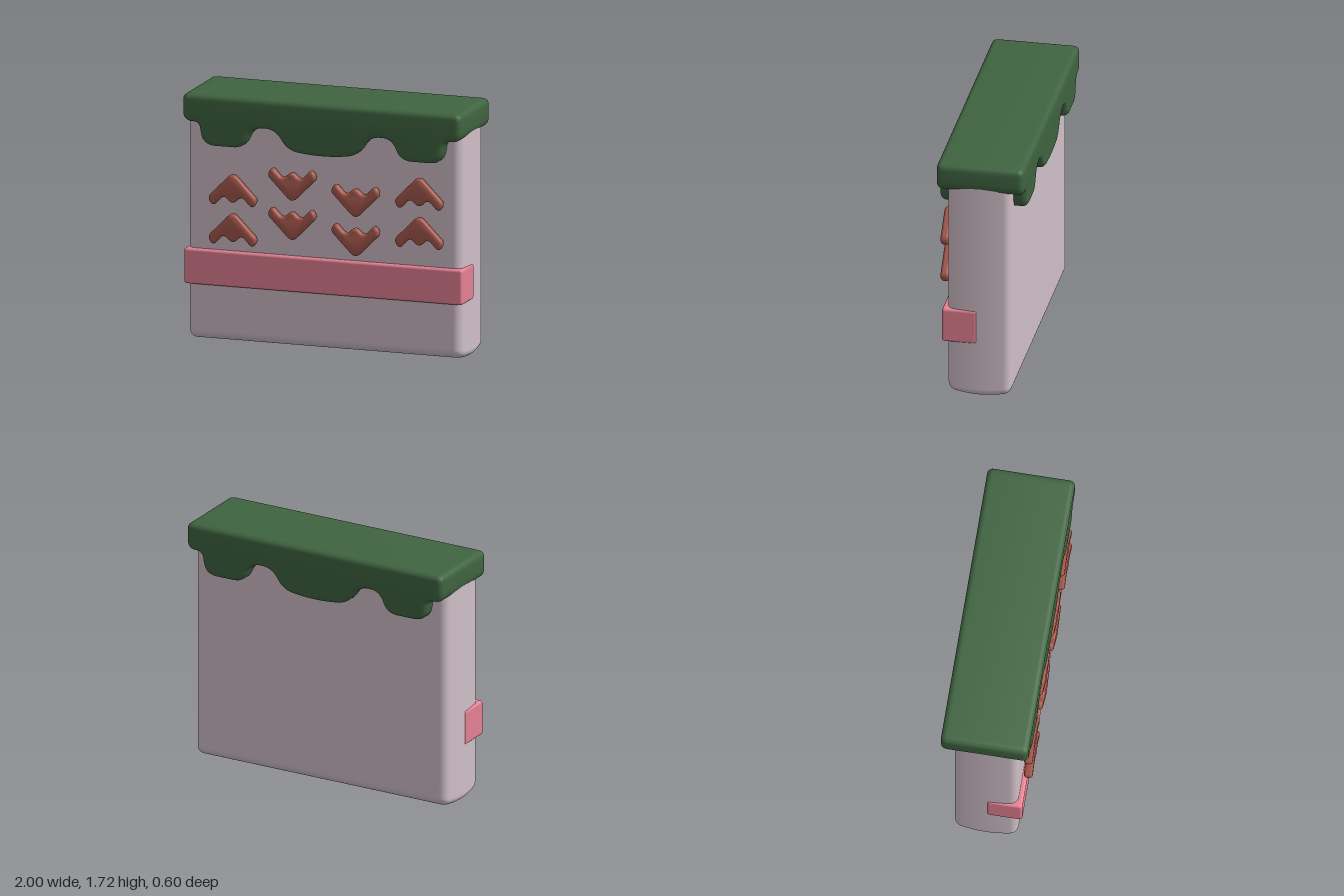
import * as THREE from 'three';
import { mergeVertices, toCreasedNormals } from 'three/addons/utils/BufferGeometryUtils.js';
import { RoundedBoxGeometry } from 'three/addons/geometries/RoundedBoxGeometry.js';

const material = (color) => new THREE.MeshStandardMaterial({ color });

// Closed shape from corners [x, y, r]; r is how far the rounding reaches along each side.
function roundedShape(corners) {
  const pts = corners.map(([x, y]) => new THREE.Vector2(x, y));
  const n = pts.length;
  const toward = (a, b, d) => a.clone().add(b.clone().sub(a).setLength(d));
  const shape = new THREE.Shape();
  pts.forEach((p, i) => {
    const r = corners[i][2];
    const a = toward(p, pts[(i + n - 1) % n], r);
    const b = toward(p, pts[(i + 1) % n], r);
    if (i === 0) shape.moveTo(a.x, a.y);
    else shape.lineTo(a.x, a.y);
    shape.quadraticCurveTo(p.x, p.y, b.x, b.y);
  });
  shape.closePath();
  return shape;
}

// Soft-edged slab of the given total depth, centred on z = 0.
function softSlab(corners, depth, bevelSize, bevelThickness) {
  const geo = new THREE.ExtrudeGeometry(roundedShape(corners), {
    depth: depth - 2 * bevelThickness,
    bevelEnabled: true, bevelSize, bevelThickness,
    bevelOffset: -bevelSize, bevelSegments: 6, curveSegments: 8,
  });
  geo.translate(0, 0, bevelThickness - depth / 2);
  return toCreasedNormals(geo, 0.9);
}

// Rounded block whose ends and underside swell gently across the depth.
function bodyGeometry(hx, hy, hz, r) {
  let geo = new THREE.BoxGeometry(2, 2, 2, 16, 16, 16);
  geo.deleteAttribute('uv');
  geo.deleteAttribute('normal');
  const half = [hx, hy, hz];
  const pos = geo.attributes.position;
  const p = new THREE.Vector3(), inner = new THREE.Vector3();
  for (let i = 0; i < pos.count; i++) {
    p.fromBufferAttribute(pos, i);
    for (let k = 0; k < 3; k++) {
      const u = p.getComponent(k), t = Math.abs(u) * 2, flat = half[k] - r;
      const v = Math.sign(u) * (t <= 1 ? t * flat : flat + (t - 1) * r);
      p.setComponent(k, v);
      inner.setComponent(k, THREE.MathUtils.clamp(v, -flat, flat));
    }
    p.sub(inner).setLength(r).add(inner);
    const swell = 1 - (p.z / hz) ** 2;
    p.x += (p.x / hx) * 0.018 * swell;
    if (p.y < 0) p.y += (p.y / hy) * 0.025 * swell;
    pos.setXYZ(i, p.x, p.y, p.z);
  }
  geo = mergeVertices(geo, 1e-5);
  geo.computeVertexNormals();
  return geo;
}

export function createModel() {
  const model = new THREE.Group();
  model.name = 'cakeSlab';
  const add = (name, geo, mat, x, y, z) => {
    const mesh = new THREE.Mesh(geo, mat);
    mesh.name = name;
    mesh.position.set(x, y, z);
    model.add(mesh);
    return mesh;
  };

  // Main slab
  add('body', bodyGeometry(0.975, 0.81, 0.2175, 0.05), material(0xd0bfc8), 0, 0.838, 0.0075);

  // Band around the front and the corners
  add('band', new RoundedBoxGeometry(2, 0.245, 0.24, 4, 0.018), material(0xe58194), 0, 0.5225, 0.14);

  // Icing with drips, one half mirrored to the other
  const right = [
    [0.25, 1.38, 0.08], [0.34, 1.52, 0.075], [0.5, 1.52, 0.075], [0.56, 1.372, 0.08],
    [0.86, 1.372, 0.09], [0.885, 1.53, 0.04], [1, 1.53, 0.07], [1, 1.725, 0.05],
  ];
  const left = right.map(([x, y, r]) => [-x, y, r]).reverse();
  add('icing', softSlab([[0, 1.35, 0.15], ...right, ...left], 0.6, 0.036, 0.04),
    material(0x3f6440), 0, 0, 0);

  // Arrowhead decorations: [apex x, apex y, points down]
  const arrow = softSlab([
    [0, 0.012, 0.05], [-0.182, -0.172, 0.035], [-0.142, -0.235, 0.035], [-0.065, -0.152, 0.035],
    [0, -0.212, 0.035], [0.065, -0.152, 0.035], [0.142, -0.235, 0.035], [0.182, -0.172, 0.035],
  ], 0.06, 0.022, 0.027);
  const brown = material(0xa5584c);
  const columns = [[-0.642, 1.19, false], [-0.215, 1.032, true], [0.24, 0.955, true], [0.697, 1.27, false]];
  for (const [x, y, down] of columns) {
    for (const drop of [0, 0.272]) {
      const mesh = add('arrowDecoration', arrow, brown, x, y - drop, 0.268);
      if (down) mesh.rotation.z = Math.PI;
    }
  }
  return model;
}
